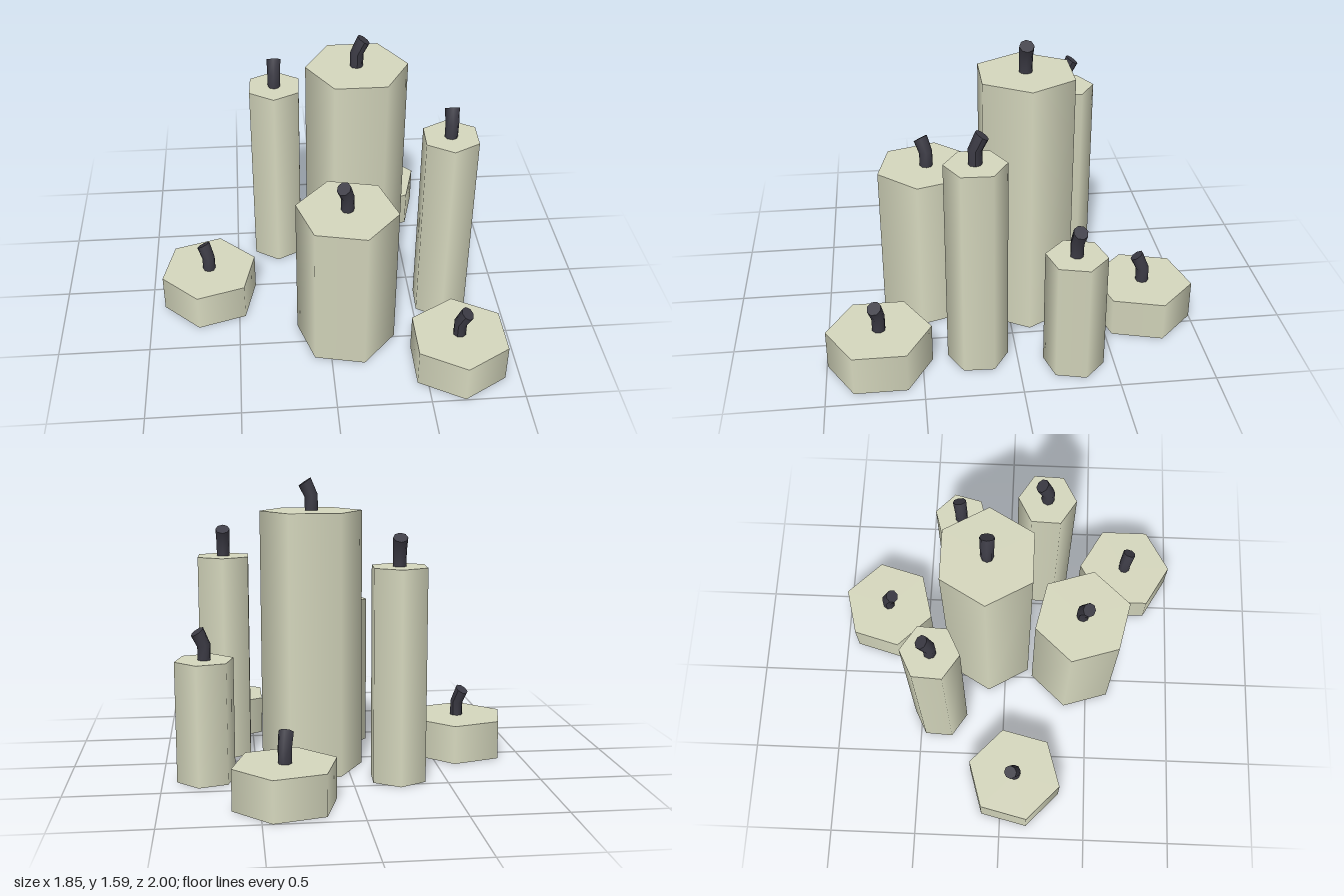
import * as THREE from 'three';

const wax = new THREE.MeshStandardMaterial({ color: 0xd6d8be });
wax.name = 'wax';
const char = new THREE.MeshStandardMaterial({ color: 0x3c3b45 });
char.name = 'charredWick';

// Wick: three rings, straight at the base, then bent towards +x
function wickGeometry() {
  const rings = [
    { x: -0.002, y: 0, r: 0.035, tilt: 0 },
    { x: -0.001, y: 0.078, r: 0.036, tilt: 0.2 },
    { x: 0.033, y: 0.152, r: 0.039, tilt: 0.59 },
  ];
  const geo = new THREE.CylinderGeometry(1, 1, 2, 8, 2);
  const p = geo.attributes.position;
  for (let i = 0; i < p.count; i++) {
    const ring = rings[Math.round(p.getY(i)) + 1];
    const u = p.getX(i) * ring.r;
    p.setXYZ(i, ring.x + u * Math.cos(ring.tilt), ring.y - u * Math.sin(ring.tilt), p.getZ(i) * ring.r);
  }
  geo.computeVertexNormals();
  return geo;
}

// Six-sided candle with a corner on +x, the way the wick leans
function candle(name, x, z, radius, height, degrees, wickGeo) {
  const group = new THREE.Group();
  group.name = name;
  const bodyGeo = new THREE.CylinderGeometry(radius, radius, height, 6, 1, false, Math.PI / 2);
  const body = new THREE.Mesh(bodyGeo, wax);
  body.name = 'waxBody';
  body.position.y = height / 2;
  const wick = new THREE.Mesh(wickGeo, char);
  wick.name = 'wick';
  wick.position.y = height;
  group.add(body, wick);
  group.position.set(x, 0, z);
  group.rotation.y = THREE.MathUtils.degToRad(degrees);
  return group;
}

export function createModel() {
  const model = new THREE.Group();
  model.name = 'candleCluster';
  const wickGeo = wickGeometry();
  const wide = 0.275, slim = 0.16;
  // name, x, z, radius, height, turn
  const candles = [
    ['tallWideCandle', 0.188, -0.1, wide, 1.412, 0],
    ['middleWideCandle', 0.095, 0.427, wide, 0.855, -132.5],
    ['shortFrontCandle', 0.681, 0.721, wide, 0.215, -30],
    ['shortRightCandle', -0.665, 0.078, wide, 0.215, 136.5],
    ['shortBackCandle', 0.375, -0.735, wide, 0.215, -105.5],
    ['tallSlimRightCandle', -0.248, -0.385, slim, 1.14, 87],
    ['tallSlimLeftCandle', 0.66, 0.205, slim, 1.14, 88],
    ['lowSlimCandle', 0.77, -0.29, slim, 0.65, 16],
  ];
  for (const c of candles) model.add(candle(...c, wickGeo));
  return model;
}
